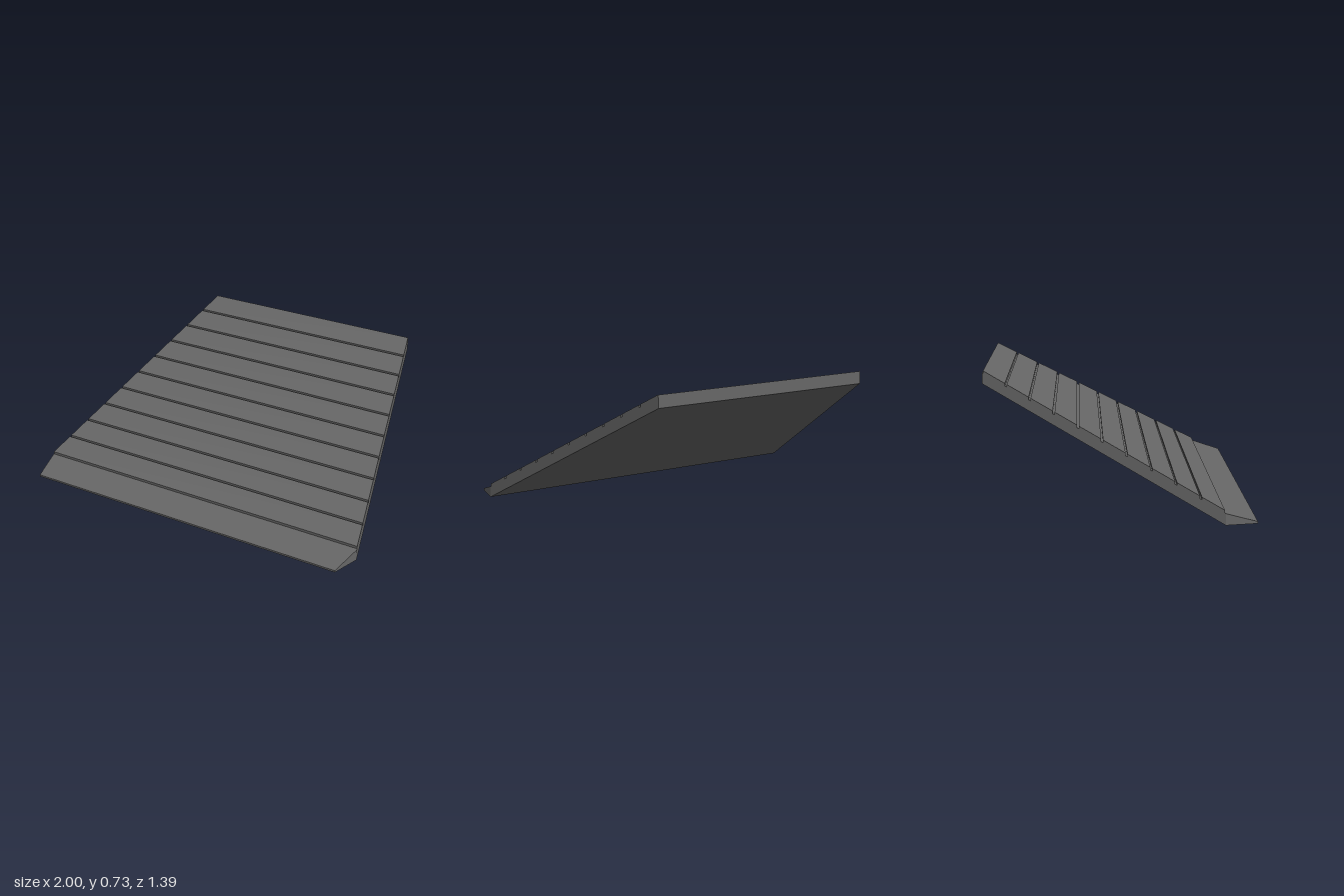
import * as THREE from 'three';

const FOOT = 0.53, BACK = -0.695, FRONT = 0.695; // z stations
const SLATS = 10, GAP = 0.01, THICK = 0.014;

const lerp = THREE.MathUtils.mapLinear;
// Half width of the ramp at a given z: tapers to the back and slightly to the front lip
const halfWidth = z => z > FOOT ? lerp(z, FOOT, FRONT, 1, 0.965) : lerp(z, FOOT, BACK, 1, 0.65);
// Height of the deck's upper surface
const deckY = z => lerp(z, FOOT, BACK, 0.06, 0.723);

export function createModel() {
  const model = new THREE.Group();
  model.name = 'ramp';
  const material = new THREE.MeshStandardMaterial({ color: 0x666666, flatShading: true });

  // Extrudes a side profile of [z, y] points across x, then tapers it to the ramp's width
  function addProfile(name, points) {
    const shape = new THREE.Shape(points.map(([z, y]) => new THREE.Vector2(z, y)));
    const geo = new THREE.ExtrudeGeometry(shape, { depth: 2, bevelEnabled: false });
    geo.translate(0, 0, -1).rotateY(-Math.PI / 2);
    const pos = geo.attributes.position;
    for (let i = 0; i < pos.count; i++) pos.setX(i, pos.getX(i) * halfWidth(pos.getZ(i)));
    geo.computeVertexNormals();
    const mesh = new THREE.Mesh(geo, material);
    mesh.name = name;
    model.add(mesh);
  }

  // Sloping deck slab
  addProfile('deck', [[FOOT, 0], [FOOT, deckY(FOOT)], [BACK, deckY(BACK)], [BACK, 0.667]]);

  // Wedge lip on the ground
  addProfile('frontLip', [[FOOT, 0], [FRONT, 0], [FRONT, 0.01], [FOOT, 0.06]]);

  // Raised cross slats with narrow gaps between
  const pitch = (FOOT - BACK) / SLATS;
  for (let i = 0; i < SLATS; i++) {
    const z0 = FOOT - i * pitch - GAP / 2;
    const z1 = FOOT - (i + 1) * pitch + GAP / 2;
    addProfile(`slat${i + 1}`, [
      [z0, deckY(z0) - 0.002], [z0, deckY(z0) + THICK],
      [z1, deckY(z1) + THICK], [z1, deckY(z1) - 0.002],
    ]);
  }
  return model;
}
